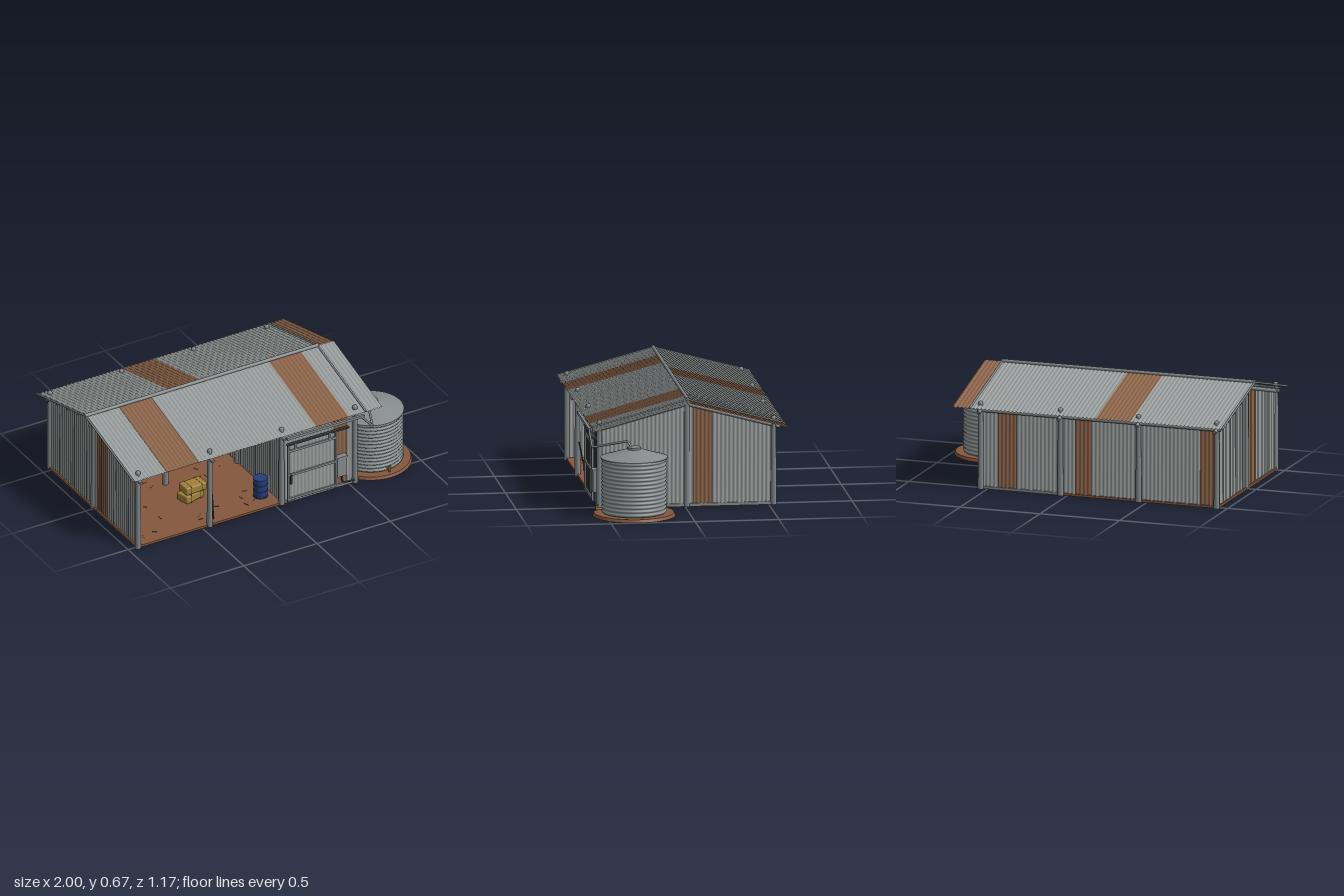
import * as THREE from 'three';
import { RoundedBoxGeometry } from 'three/addons/geometries/RoundedBoxGeometry.js';

const mat = (name, color, side = THREE.FrontSide) => {
  const m = new THREE.MeshStandardMaterial({ color, side });
  m.name = name;
  return m;
};

export function createModel() {
  const root = new THREE.Group();
  root.name = 'farmShed';
  const M = {
    sheet: mat('galvanisedSheet', 0x989e9d, THREE.DoubleSide),
    rust: mat('rustedSheet', 0x8c6449, THREE.DoubleSide),
    post: mat('weatheredPost', 0x7f8587),
    trim: mat('steelTrim', 0x858b8c),
    dirt: mat('redDirt', 0x85573d),
    slab: mat('concrete', 0x868b8a),
    hay: mat('hay', 0xa38237),
    dark: mat('darkSteel', 0x3c4043),
    blue: mat('bluePaint', 0x23407a),
    brass: mat('brass', 0x9c7f2e),
  };
  const V = (x, y, z) => new THREE.Vector3(x, y, z);
  const add = (name, geo, m, x = 0, y = 0, z = 0, parent = root) => {
    const mesh = new THREE.Mesh(geo, m);
    mesh.name = name;
    mesh.position.set(x, y, z);
    parent.add(mesh);
    return mesh;
  };
  const box = (name, m, w, h, d, x, y, z, p) => add(name, new THREE.BoxGeometry(w, h, d), m, x, y, z, p);
  // Round bar between two points
  const bar = (name, m, a, b, r, r2 = r, sides = 12) => {
    const dir = b.clone().sub(a);
    const mesh = add(name, new THREE.CylinderGeometry(r2, r, dir.length(), sides), m);
    mesh.position.copy(a).add(b).multiplyScalar(0.5);
    mesh.quaternion.setFromUnitVectors(V(0, 1, 0), dir.normalize());
    return mesh;
  };
  // Bent pipe with straight runs
  const pipe = (name, m, pts, r) => {
    const path = new THREE.CurvePath();
    for (let i = 1; i < pts.length; i++) path.add(new THREE.LineCurve3(pts[i - 1], pts[i]));
    add(name, new THREE.TubeGeometry(path, 48, r, 8), m);
  };

  // Corrugated sheet: place(u, t, w) gives the point at width u, height fraction t, wave offset w
  const corrugated = (u0, u1, place) => {
    const pitch = 0.0245, n = Math.max(8, Math.round((u1 - u0) / pitch * 6));
    const pos = [], idx = [];
    for (let i = 0; i <= n; i++) {
      const u = u0 + (u1 - u0) * i / n;
      const w = 0.003 * Math.cos(u / pitch * Math.PI * 2);
      pos.push(...place(u, 0, w), ...place(u, 1, w));
      const k = i * 2;
      if (i < n) idx.push(k, k + 2, k + 1, k + 1, k + 2, k + 3);
    }
    const g = new THREE.BufferGeometry();
    g.setAttribute('position', new THREE.Float32BufferAttribute(pos, 3));
    g.setIndex(idx);
    g.computeVertexNormals();
    return g;
  };
  // Run of sheets with rusted spans set in
  const cladding = (name, u0, u1, rusted, place) => {
    let u = u0;
    for (const [a, b] of rusted) {
      if (a > u) add(name, corrugated(u, a, place), M.sheet);
      add(name + 'Rusted', corrugated(a, b, place), M.rust);
      u = b;
    }
    if (u < u1) add(name, corrugated(u, u1, place), M.sheet);
  };

  const RZ = -0.01, SLOPE = 0.268;
  const roofY = z => 0.652 - SLOPE * Math.abs(z - RZ);
  const bays = [-0.94, -0.45, 0.04, 0.54];

  // Floors
  box('dirtFloor', M.dirt, 0.99, 0.014, 1.04, -0.455, 0.007, -0.005);
  box('concreteFloor', M.slab, 0.505, 0.016, 1.04, 0.2925, 0.008, -0.005);

  // Roof
  const roof = zEnd => (u, t, w) => {
    const z = RZ + (zEnd - RZ) * t;
    return [u, roofY(z) + w, z];
  };
  cladding('frontRoof', -1, 0.7, [[-0.77, -0.55], [0.25, 0.47]], roof(0.562));
  cladding('backRoof', -1, 0.7, [[-0.42, -0.2], [0.59, 0.7]], roof(-0.587));
  bar('ridgeCap', M.trim, V(-1, 0.656, RZ), V(0.592, 0.656, RZ), 0.011);
  for (const x of [-0.995, 0.588])
    for (const z of [0.562, -0.587])
      bar('bargeCap', M.trim, V(x, roofY(RZ) + 0.002, RZ), V(x, roofY(z) + 0.002, z), 0.006);

  // Walls
  const endWall = x => (u, t, w) => [x + w, 0.012 + t * (roofY(u) - 0.024), u];
  cladding('leftEndWall', -0.52, 0.505, [[-0.162, -0.05]], endWall(0.54));
  cladding('rightEndWall', -0.52, 0.505, [[0.03, 0.15]], endWall(-0.94));
  cladding('partitionWall', -0.52, 0.505, [], endWall(0.04));
  cladding('backWall', -0.94, 0.54, [[-0.93, -0.83], [-0.155, -0.05], [0.32, 0.43]],
    (u, t, w) => [u, 0.012 + t * 0.478, -0.517 + w]);
  cladding('frontWall', 0.04, 0.54, [[0.395, 0.49]], (u, t, w) => [u, 0.012 + t * 0.468, 0.505 + w]);

  // Posts, rafters, plates and purlins
  for (const x of bays) {
    for (const [z, h] of [[0.512, 0.52], [-0.527, 0.52], [RZ, 0.645]]) {
      bar('post', M.post, V(x, 0, z), V(x, h, z), 0.018, 0.015);
      if (z !== RZ) {
        add('postTop', new THREE.SphereGeometry(0.015, 12, 6, 0, Math.PI * 2, 0, Math.PI / 2), M.post, x, h, z);
        const e = z + Math.sign(z) * 0.04;
        bar('rafter', M.post, V(x, roofY(RZ) - 0.034, RZ), V(x, roofY(e) - 0.034, e), 0.011);
      }
    }
  }
  for (const z of [0.44, 0.355, 0.22, 0.1, -0.12, -0.24, -0.36, -0.46])
    bar('purlin', M.post, V(-0.99, roofY(z) - 0.015, z), V(0.585, roofY(z) - 0.015, z), 0.007, 0.007, 8);
  bar('frontPlate', M.post, V(-0.965, 0.478, 0.512), V(0.56, 0.478, 0.512), 0.011);
  bar('backPlate', M.post, V(-0.965, 0.478, -0.527), V(0.56, 0.478, -0.527), 0.011);
  box('endSill', M.trim, 0.01, 0.014, 1.03, 0.543, 0.012, -0.005);

  // Gutter and downpipe
  box('gutter', M.trim, 0.53, 0.016, 0.016, 0.305, 0.484, 0.572);
  pipe('downpipe', M.trim, [V(0.545, 0.488, 0.575), V(0.63, 0.39, 0.565), V(0.71, 0.437, 0.365), V(0.735, 0.405, 0.345)], 0.007);

  // Sliding door
  const door = new THREE.Group();
  door.name = 'slidingDoor';
  root.add(door);
  add('doorSheet', corrugated(0.07, 0.4, (u, t, w) => [u, 0.02 + t * 0.385, 0.53 + w]), M.sheet, 0, 0, 0, door);
  for (const y of [0.035, 0.2, 0.365]) box('doorRail', M.trim, 0.33, 0.014, 0.012, 0.235, y, 0.534, door);
  for (const x of [0.073, 0.397]) box('doorStile', M.trim, 0.012, 0.385, 0.012, x, 0.212, 0.534, door);
  box('doorTrack', M.dark, 0.42, 0.01, 0.018, 0.275, 0.412, 0.534, door);
  for (const x of [0.12, 0.35]) box('doorHanger', M.trim, 0.014, 0.04, 0.006, x, 0.395, 0.543, door);
  box('doorHandle', M.dark, 0.01, 0.06, 0.012, 0.088, 0.172, 0.543, door);

  // Meter box and conduit
  box('meterBox', M.trim, 0.064, 0.13, 0.028, 0.44, 0.15, 0.525);
  box('meterBoxLid', M.trim, 0.07, 0.012, 0.034, 0.44, 0.215, 0.526);
  pipe('conduit', M.dark, [V(0.44, 0.09, 0.525), V(0.445, 0.04, 0.528), V(0.48, 0.03, 0.53), V(0.56, 0.022, 0.52)], 0.005);

  // Water tank on an earth pad
  const TX = 0.752, TZ = 0.332;
  add('tankPad', new THREE.CylinderGeometry(0.238, 0.246, 0.018, 40), M.dirt, TX, 0.009, TZ);
  const profile = [new THREE.Vector2(0, 0.018)];
  const ribs = 14;
  for (let i = 0; i <= ribs * 6; i++)
    profile.push(new THREE.Vector2(0.1905 - 0.0035 * Math.cos(i / 6 * Math.PI * 2), 0.018 + 0.33 * i / (ribs * 6)));
  add('tankWall', new THREE.LatheGeometry(profile, 48), M.trim, TX, 0, TZ);
  add('tankRoof', new THREE.CylinderGeometry(0.045, 0.198, 0.048, 48), M.trim, TX, 0.373, TZ);
  add('tankEave', new THREE.CylinderGeometry(0.198, 0.198, 0.006, 48), M.trim, TX, 0.347, TZ);
  add('tankHatch', new THREE.CylinderGeometry(0.043, 0.043, 0.016, 24), M.trim, TX, 0.402, TZ);
  bar('tapSpout', M.brass, V(TX, 0.045, TZ + 0.18), V(TX, 0.045, TZ + 0.228), 0.007);
  bar('tapNozzle', M.brass, V(TX, 0.03, TZ + 0.225), V(TX, 0.065, TZ + 0.225), 0.006);
  box('tapHandle', M.brass, 0.024, 0.006, 0.008, TX, 0.066, TZ + 0.225);

  // Hay bales
  const bale = (x, y, z, turn = 0) => {
    const g = new THREE.Group();
    g.name = 'hayBale';
    g.position.set(x, y, z);
    g.rotation.y = turn;
    root.add(g);
    add('baleBody', new RoundedBoxGeometry(0.145, 0.05, 0.09, 2, 0.009), M.hay, 0, 0, 0, g);
    for (const s of [-1, 1]) box('baleTwine', M.dark, 0.003, 0.051, 0.091, s * 0.036, 0, 0, g);
  };
  [[-0.835, 5], [-0.765, 4], [-0.688, 3]].forEach(([x0, n], row) => {
    for (let i = 0; i < n; i++)
      for (const z of [-0.22, -0.32]) bale(x0 + i * 0.15, 0.04 + row * 0.053, z, 0.05 * Math.sin(i * 5 + row * 3));
  });
  bale(-0.4, 0.04, 0.2, 0.25);
  bale(-0.385, 0.092, 0.2, 0.05);

  // Loose straw
  for (let i = 0; i < 24; i++) {
    const s = box('straw', i % 3 ? M.hay : M.dark, 0.03, 0.003, 0.003,
      -0.47 + 0.4 * Math.sin(i * 2.4), 0.016, 0.18 + 0.26 * Math.cos(i * 4.1));
    s.rotation.y = i * 1.7;
  }
  // Tool leaning on the front post
  bar('toolHandle', M.dark, V(-0.4, 0.014, 0.47), V(-0.428, 0.21, 0.505), 0.004, 0.004, 8);

  // Drum
  add('drumBody', new THREE.CylinderGeometry(0.041, 0.041, 0.125, 24), M.blue, -0.03, 0.0765, 0.385);
  for (const y of [0.018, 0.056, 0.097, 0.136])
    add('drumHoop', new THREE.CylinderGeometry(0.044, 0.044, 0.007, 24), M.blue, -0.03, y, 0.385);

  return root;
}
